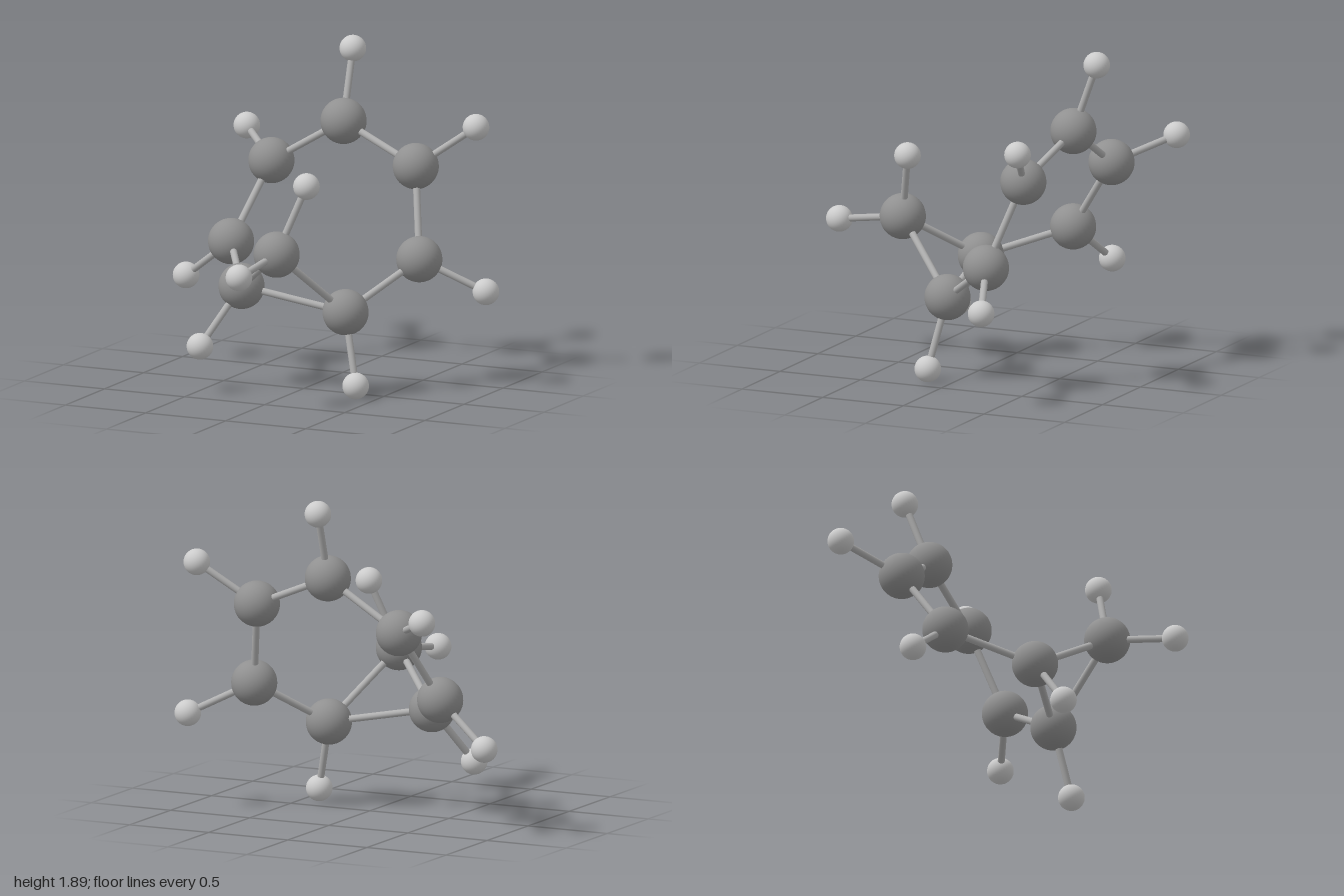
import * as THREE from 'three';

const CARBON_R = 0.13, HYDROGEN_R = 0.075, BOND_R = 0.02;

// Seven ring carbons in order, then the carbon bridging ring atoms 3 and 4.
const carbons = [
  [-0.03, 1.43, -0.57], [-0.49, 1.16, -0.59], [-0.60, 0.74, -0.30], [-0.32, 0.59, 0.14],
  [0.29, 0.48, 0.06], [0.57, 0.74, -0.31], [0.46, 1.23, -0.49], [0.05, 0.86, 0.45],
].map(p => new THREE.Vector3(...p));

// Hydrogens: index of the carbon they hang on, then position.
const hydrogens = [
  [0, -0.04, 1.82, -0.71], [1, -0.775, 1.285, -0.86], [2, -0.925, 0.50, -0.39],
  [3, -0.475, 0.27, 0.355], [4, 0.39, 0.08, 0.135], [5, 0.92, 0.56, -0.445],
  [6, 0.78, 1.46, -0.605], [7, 0.19, 1.245, 0.355], [7, 0.015, 0.80, 0.86],
].map(([carbon, x, y, z]) => ({ carbon, position: new THREE.Vector3(x, y, z) }));

export function createModel() {
  const model = new THREE.Group();
  model.name = 'ballAndStickMolecule';

  const carbonMaterial = new THREE.MeshStandardMaterial({ color: 0x909090 });
  const hydrogenMaterial = new THREE.MeshStandardMaterial({ color: 0xcccccc });
  const bondMaterial = new THREE.MeshStandardMaterial({ color: 0xb0b0b0 });
  const carbonGeometry = new THREE.SphereGeometry(CARBON_R, 32, 24);
  const hydrogenGeometry = new THREE.SphereGeometry(HYDROGEN_R, 32, 24);
  const up = new THREE.Vector3(0, 1, 0);

  function addAtom(name, geometry, material, position) {
    const atom = new THREE.Mesh(geometry, material);
    atom.name = name;
    atom.position.copy(position);
    model.add(atom);
  }

  // A rod running between two atom centres
  function addBond(name, a, b) {
    const direction = b.clone().sub(a);
    const rod = new THREE.Mesh(
      new THREE.CylinderGeometry(BOND_R, BOND_R, direction.length(), 16), bondMaterial);
    rod.name = name;
    rod.position.copy(a).lerp(b, 0.5);
    rod.quaternion.setFromUnitVectors(up, direction.normalize());
    model.add(rod);
  }

  // Large atoms
  carbons.forEach((p, i) => addAtom(i < 7 ? `ringCarbon${i + 1}` : 'bridgeCarbon',
    carbonGeometry, carbonMaterial, p));

  // Closed seven-sided ring and the two rods of the bridge
  for (let i = 0; i < 7; i++) addBond(`ringBond${i + 1}`, carbons[i], carbons[(i + 1) % 7]);
  [3, 4].forEach((i, n) => addBond(`bridgeBond${n + 1}`, carbons[i], carbons[7]));

  // Small outer atoms with their rods
  hydrogens.forEach(({ carbon, position }, i) => {
    addAtom(`hydrogen${i + 1}`, hydrogenGeometry, hydrogenMaterial, position);
    addBond(`hydrogenBond${i + 1}`, carbons[carbon], position);
  });

  return model;
}
